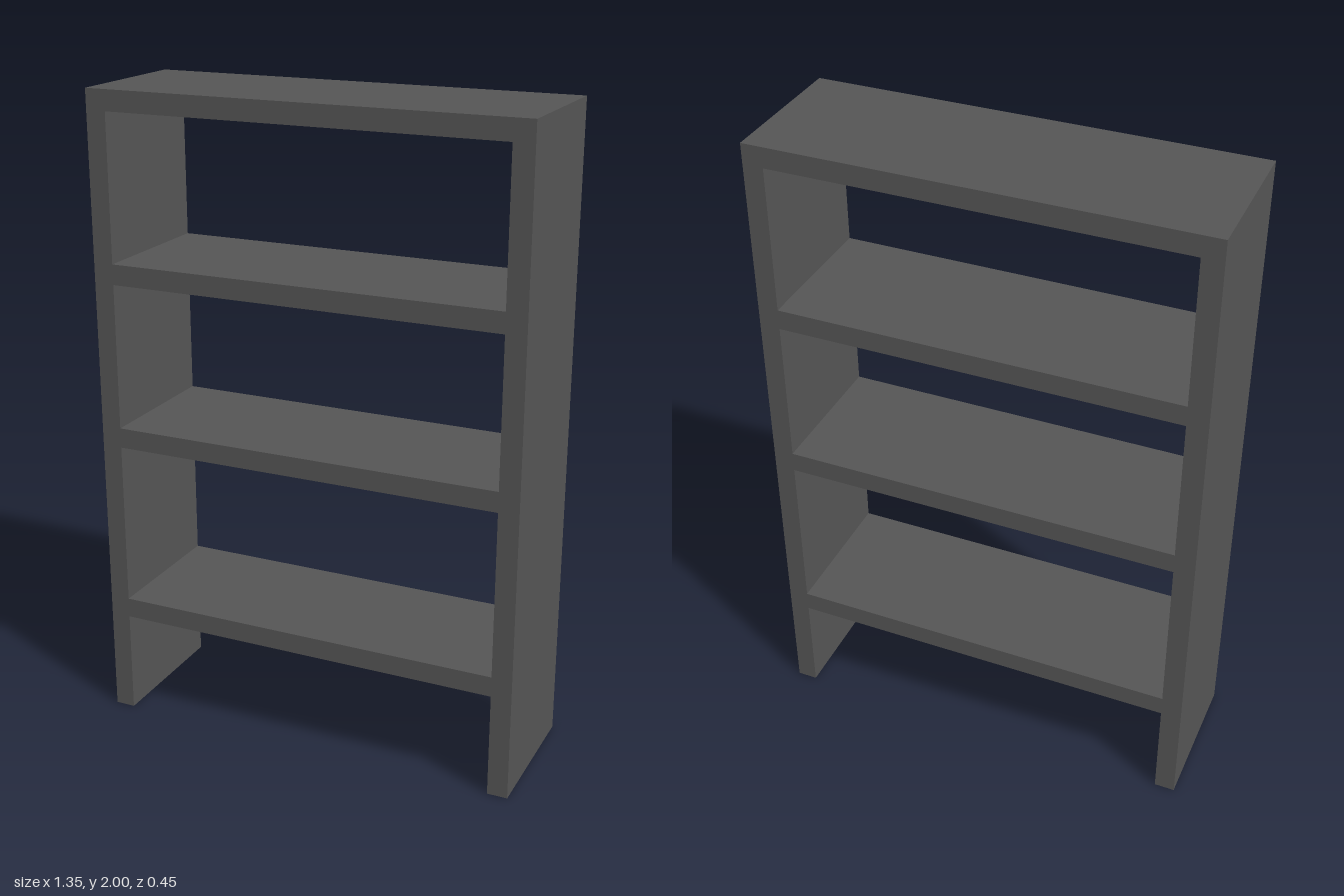
import * as THREE from 'three';

export function createModel() {
  const group = new THREE.Group();
  group.name = 'shelvingUnit';

  const charcoal = new THREE.MeshStandardMaterial({ color: 0x555555 });
  charcoal.name = 'charcoal';

  const width = 1.35, height = 2, depth = 0.45, board = 0.063;

  const addBoard = (name, w, h, x, y) => {
    const mesh = new THREE.Mesh(new THREE.BoxGeometry(w, h, depth), charcoal);
    mesh.name = name;
    mesh.position.set(x, y, 0);
    group.add(mesh);
  };

  // Upright side panels, running down to the floor as legs
  for (const [name, side] of [['leftSide', 1], ['rightSide', -1]]) {
    addBoard(name, board, height, side * (width - board) / 2, height / 2);
  }

  // Horizontal boards fitted between the sides, placed by their centre height
  const boards = [
    ['lowerShelf', 0.359],
    ['middleShelf', 0.939],
    ['upperShelf', 1.456],
    ['topBoard', height - board / 2],
  ];
  for (const [name, y] of boards) {
    addBoard(name, width - 2 * board, board, 0, y);
  }

  return group;
}
